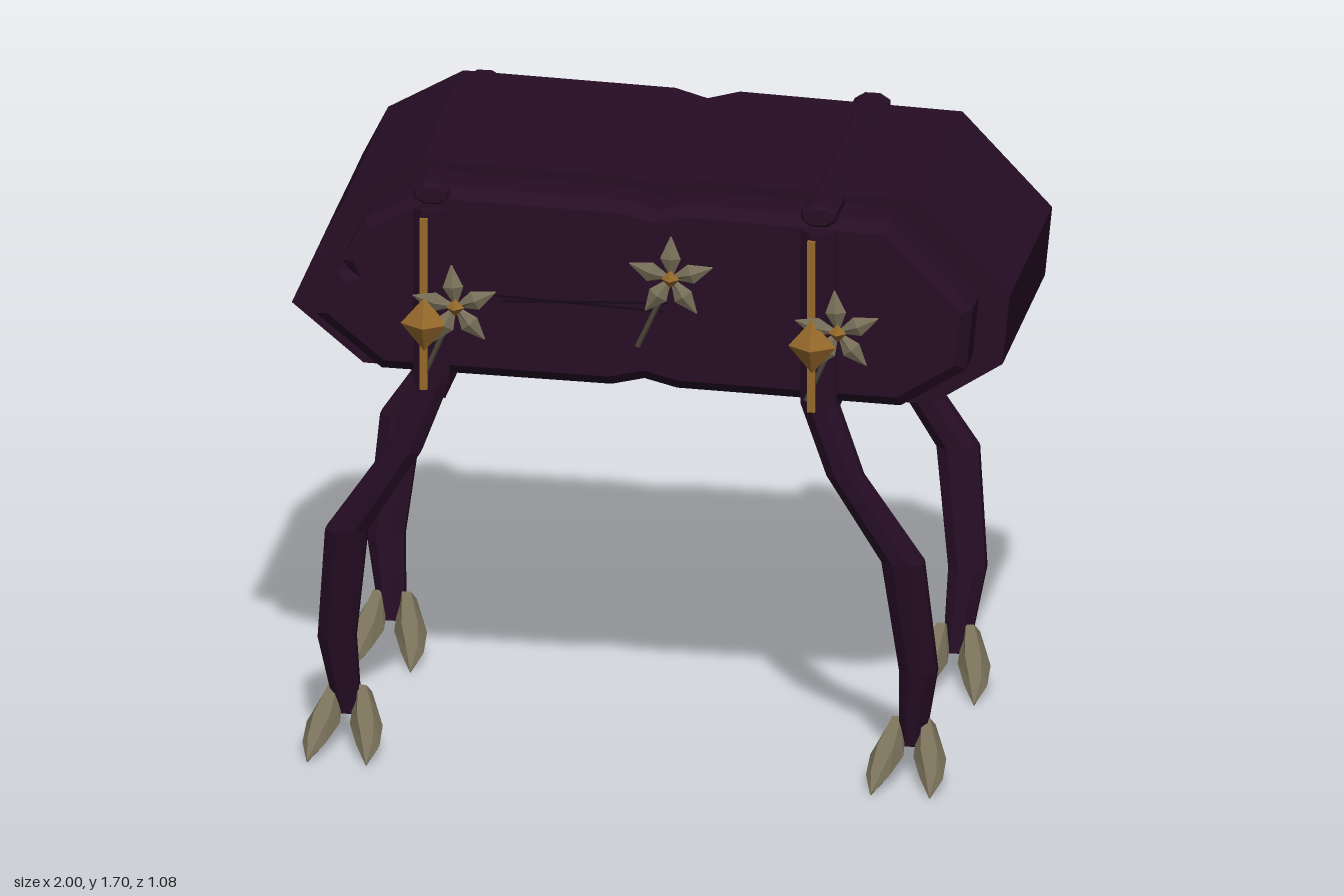
import * as THREE from 'three';

const mat = (name, color) => {
  const m = new THREE.MeshStandardMaterial({ color });
  m.name = name;
  return m;
};

// Faceted solid through rings [centre, axis1, axis2]; axis1 x axis2 points along the path
function loft(rings, sides) {
  const v = new THREE.Vector3(), pos = [];
  const half = Math.PI / sides;
  const pts = rings.map(([c, e1, e2]) => Array.from({ length: sides }, (_, j) => {
    const a = half * (2 * j + (sides === 8 ? 1 : 0)), k = sides === 8 ? 1 / Math.cos(half) : 1;
    return v.fromArray(c).addScaledVector(new THREE.Vector3(...e1), Math.cos(a) * k)
      .addScaledVector(new THREE.Vector3(...e2), Math.sin(a) * k).toArray();
  }));
  const last = rings.length - 1;
  for (let j = 0; j < sides; j++) {
    const n = (j + 1) % sides;
    for (let i = 0; i < last; i++) {
      const a = pts[i][j], b = pts[i][n], c = pts[i + 1][j], d = pts[i + 1][n];
      pos.push(...a, ...b, ...c, ...b, ...d, ...c);
    }
    pos.push(...rings[0][0], ...pts[0][n], ...pts[0][j]);
    pos.push(...rings[last][0], ...pts[last][j], ...pts[last][n]);
  }
  const g = new THREE.BufferGeometry();
  g.setAttribute('position', new THREE.Float32BufferAttribute(pos, 3));
  g.computeVertexNormals();
  return g;
}

export function createModel() {
  const root = new THREE.Group();
  root.name = 'walkingChest';
  const hide = mat('dark plum', 0x260d25);
  const bone = mat('bone grey', 0x787059);
  const gold = mat('old gold', 0x96692a);
  const twig = mat('dark twig', 0x4d483a);
  const vine = mat('vine shadow', 0x180818);

  const add = (parent, name, geo, material, x = 0, y = 0, z = 0) => {
    const m = new THREE.Mesh(geo, material);
    m.name = name;
    m.position.set(x, y, z);
    parent.add(m);
    return m;
  };

  // Body: irregular slab outline with a notch on one end
  const outline = [
    [-1, 1.26], [-0.935, 1.405], [-0.9, 1.41], [-0.92, 1.44], [-0.85, 1.58], [-0.64, 1.7],
    [-0.05, 1.685], [0.04, 1.66], [0.13, 1.685], [0.75, 1.665], [1, 1.4], [0.98, 1.2],
    [0.78, 1.07], [0.1, 1.085], [0, 1.11], [-0.1, 1.085], [-0.8, 1.095],
  ];
  const shape = (sx, sy) => new THREE.Shape(
    outline.map(([x, y]) => new THREE.Vector2(x * sx, 1.385 + (y - 1.385) * sy)));
  add(root, 'body', new THREE.ExtrudeGeometry(shape(1, 1), { depth: 0.71, bevelEnabled: false }),
    hide, 0, 0, -0.41);
  add(root, 'frontPanel', new THREE.ExtrudeGeometry(shape(0.915, 0.9), {
    depth: 0.11, bevelThickness: 0.025, bevelSize: 0.03, bevelOffset: -0.03, bevelSegments: 1,
  }), hide, 0, 0, 0.295);

  // Legs are mirrored about x = -0.05 and z = -0.03: [x, y, z, half width, half depth]
  const X0 = -0.05, Z0 = -0.03;
  const path = [
    [0.54, 1.61, 0.445, 0.05, 0.045], [0.54, 1.1, 0.445, 0.05, 0.045],
    [0.615, 0.9, 0.465, 0.05, 0.04], [0.775, 0.655, 0.46, 0.058, 0.043],
    [0.81, 0.32, 0.41, 0.052, 0.042], [0.785, 0.09, 0.37, 0.035, 0.036],
  ];
  for (const sx of [-1, 1]) {
    for (const sz of [-1, 1]) {
      const leg = new THREE.Group();
      leg.name = (sz > 0 ? 'front' : 'back') + (sx > 0 ? 'Left' : 'Right') + 'Leg';
      root.add(leg);
      add(leg, 'limb', loft(path.map(([x, y, z, w, d]) =>
        [[X0 + sx * x, y, Z0 + sz * z], [w, 0, 0], [0, 0, d]]), 8), hide);
      add(leg, 'goldRod', new THREE.BoxGeometry(0.022, 0.5, 0.02), gold,
        X0 + sx * 0.54 - 0.015, 1.34, sz > 0 ? 0.462 : -0.428);

      // Two claws per foot, both pointing forward
      for (const s of [-1, 1]) {
        add(leg, 'claw', loft([
          [[s * 0.04, 0.142, -0.01], [0.024, 0, 0], [0, 0.033, 0.03]],
          [[s * 0.06, 0.072, 0.065], [0.046, 0, 0], [0, 0.04, 0.022]],
          [[s * 0.075, 0.036, 0.13], [0.032, 0, 0], [0, 0.024, 0.01]],
          [[s * 0.082, 0.006, 0.2], [0.002, 0, 0], [0, 0.003, 0.001]],
        ], 6), bone, X0 + sx * 0.785, 0, Z0 + sz * 0.37);
      }
    }

    // Straps over and under the body joining each pair of legs
    const x = X0 + sx * 0.54;
    const ring = (z, w, h) => [[x, 1.65, z], [w, 0, 0], [0, h, 0]];
    add(root, 'topStrap', loft([
      ring(-0.485, 0.042, 0.022), ring(-0.47, 0.05, 0.032),
      ring(0.425, 0.05, 0.032), ring(0.44, 0.042, 0.022),
    ], 8), hide);
    add(root, 'bottomStrap', new THREE.BoxGeometry(0.07, 0.05, 0.85), hide, x, 1.07, -0.02);

    // Gold gem on each front rod
    add(root, 'gem', new THREE.OctahedronGeometry(1), gold, x - 0.01, 1.288, 0.485)
      .scale.set(0.066, 0.078, 0.045);
  }

  // Five-petalled flowers with a twig stem
  const petal = loft([
    [[0, 0.012, 0], [0, 0, 0.006], [0.008, 0, 0]],
    [[0, 0.06, 0.008], [0, 0, 0.012], [0.029, 0, 0]],
    [[0, 0.122, 0], [0, 0, 0.002], [0.002, 0, 0]],
  ], 4);
  const flowers = [[-0.515, 1.34, 0.1, -0.085, -0.2], [0.085, 1.46, 0, -0.095, -0.21],
    [0.55, 1.33, 0.08, -0.09, -0.21]];
  for (const [x, y, turn, dx, dy] of flowers) {
    const flower = new THREE.Group();
    flower.name = 'flower';
    flower.position.set(x, y, 0.472);
    root.add(flower);
    for (let i = 0; i < 5; i++) {
      add(flower, 'petal', petal, bone).rotation.z = turn + i * Math.PI * 0.4;
    }
    add(flower, 'flowerCentre', new THREE.OctahedronGeometry(0.026), gold, 0, 0, 0.008);
    const stem = add(flower, 'stem', new THREE.CylinderGeometry(0.008, 0.008, Math.hypot(dx, dy), 5),
      twig, dx / 2, dy / 2, -0.012);
    stem.rotation.z = Math.atan2(-dx, dy);
  }

  // Thin vines across the panel
  for (const [x, y, len, tilt] of [[-0.18, 1.355, 0.48, -0.04], [-0.16, 1.36, 0.46, 0.05]]) {
    add(root, 'vine', new THREE.BoxGeometry(len, 0.006, 0.006), vine, x, y, 0.431).rotation.z = tilt;
  }
  return root;
}
